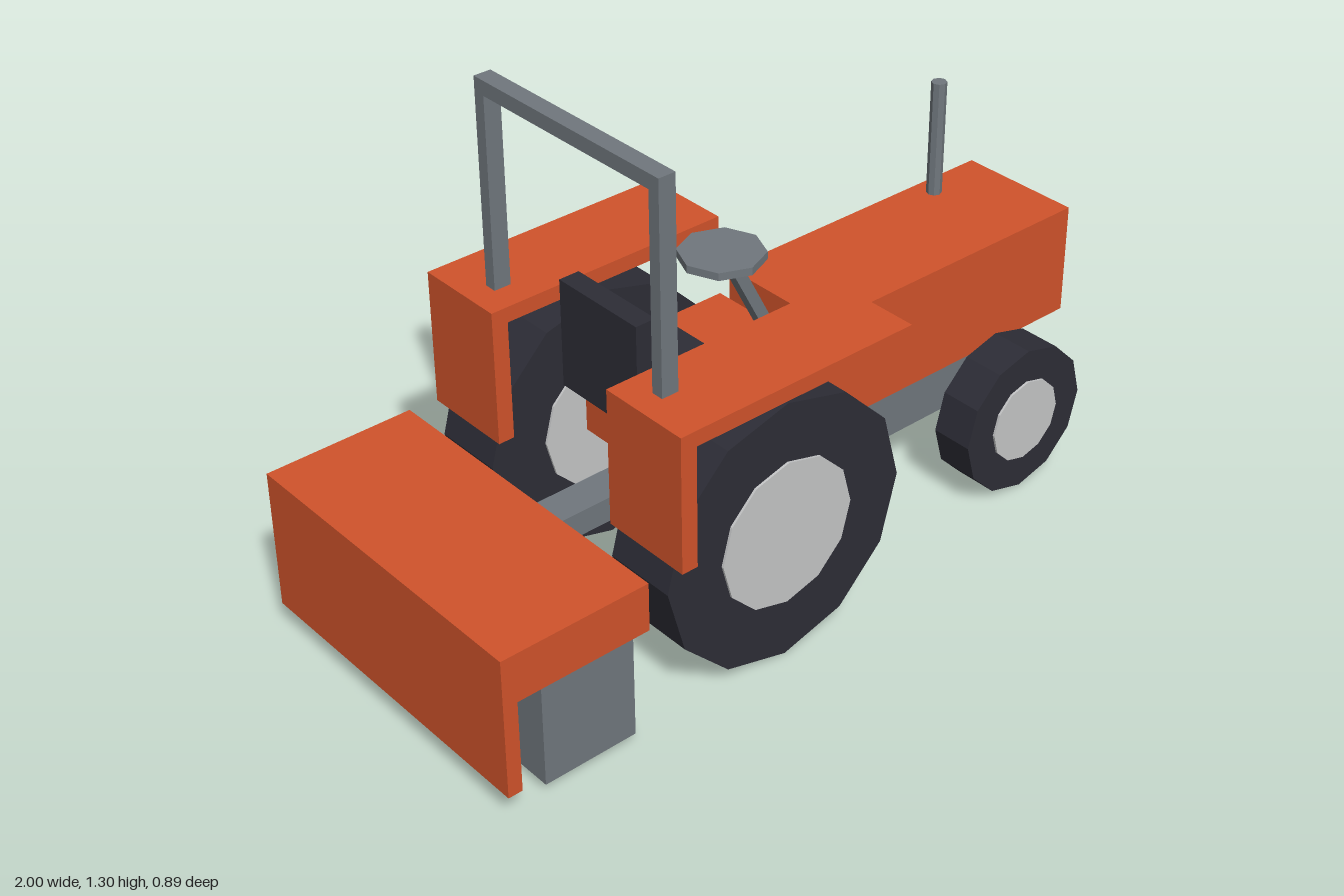
import * as THREE from 'three';

const material = (name, color) => {
  const m = new THREE.MeshStandardMaterial({ color });
  m.name = name;
  return m;
};

export function createModel() {
  const orange = material('orange paint', 0xd0532b);
  const gray = material('gray metal', 0x70777d);
  const black = material('black rubber', 0x2d2d36);
  const silver = material('light gray hub', 0xc4c5c6);

  const model = new THREE.Group();
  model.name = 'tractor';

  const add = (parent, name, geometry, mat) => {
    const mesh = new THREE.Mesh(geometry, mat);
    mesh.name = name;
    parent.add(mesh);
    return mesh;
  };
  // Box given by its limits on each axis
  const box = (parent, name, mat, [x0, x1], [y0, y1], [z0, z1]) => {
    const mesh = add(parent, name, new THREE.BoxGeometry(x1 - x0, y1 - y0, z1 - z0), mat);
    mesh.position.set((x0 + x1) / 2, (y0 + y1) / 2, (z0 + z1) / 2);
    return mesh;
  };
  // Flat-sided cylinder built without smooth normals
  const prism = (r, h, sides) => {
    const g = new THREE.CylinderGeometry(r, r, h, sides).toNonIndexed();
    g.computeVertexNormals();
    return g;
  };

  // Body
  box(model, 'hood', orange, [0.15, 0.985], [0.35, 0.645], [-0.168, 0.168]);
  box(model, 'grille', gray, [0.985, 1], [0.385, 0.607], [-0.134, 0.134]);
  box(model, 'cabFloor', orange, [-0.27, 0.15], [0.35, 0.56], [-0.203, 0.203]);
  box(model, 'chassis', gray, [-0.03, 0.87], [0.185, 0.35], [-0.123, 0.123]);
  box(model, 'hitchBar', gray, [-0.64, -0.03], [0.285, 0.35], [-0.047, 0.047]);

  // Exhaust
  add(model, 'exhaust', prism(0.02, 0.31, 8), gray).position.set(0.79, 0.8, -0.113);

  // Seat
  box(model, 'seatCushion', black, [-0.385, -0.09], [0.56, 0.62], [-0.134, 0.134]);
  box(model, 'seatBack', black, [-0.385, -0.33], [0.56, 0.84], [-0.134, 0.134]);

  // Steering
  add(model, 'steeringWheel', prism(0.105, 0.02, 8), gray).position.set(-0.022, 0.825, 0);
  const foot = new THREE.Vector3(0.13, 0.55, 0);
  const head = new THREE.Vector3(-0.01, 0.82, 0);
  const column = add(model, 'steeringColumn', new THREE.BoxGeometry(0.03, foot.distanceTo(head), 0.032), gray);
  column.position.copy(foot).add(head).multiplyScalar(0.5);
  column.quaternion.setFromUnitVectors(new THREE.Vector3(0, 1, 0), head.clone().sub(foot).normalize());

  // Wheels: twelve-sided tyre with a hub standing slightly proud of both faces
  const wheel = (name, x, y, r, hubR, z0, z1, side) => {
    const group = new THREE.Group();
    group.name = name;
    add(group, 'tyre', prism(r, z1 - z0, 12), black);
    add(group, 'hub', prism(hubR, z1 - z0 + 0.012, 12), silver);
    group.rotation.x = Math.PI / 2;
    group.position.set(x, y, side * (z0 + z1) / 2);
    model.add(group);
  };

  // Mirrored parts
  for (const side of [1, -1]) {
    const span = (a, b) => (side > 0 ? [a, b] : [-b, -a]);
    wheel('rearWheel', -0.19, 0.35, 0.346, 0.192, 0.22, 0.41, side);
    wheel('frontWheel', 0.705, 0.205, 0.2, 0.112, 0.2, 0.312, side);
    box(model, 'fenderTop', orange, [-0.525, 0.145], [0.735, 0.775], span(0.203, 0.447));
    box(model, 'fenderBack', orange, [-0.525, -0.482], [0.423, 0.735], span(0.203, 0.447));
    box(model, 'rollBarPost', gray, [-0.46, -0.415], [0.775, 1.265], span(0.278, 0.31));
  }
  box(model, 'rollBarTop', gray, [-0.46, -0.415], [1.265, 1.302], [-0.31, 0.31]);

  // Rear implement
  box(model, 'implementCover', orange, [-1, -0.61], [0.312, 0.438], [-0.437, 0.437]);
  box(model, 'implementFlap', orange, [-1, -0.963], [0.07, 0.312], [-0.437, 0.437]);
  box(model, 'implementDrum', gray, [-0.89, -0.642], [0.03, 0.312], [-0.42, 0.42]);

  return model;
}
